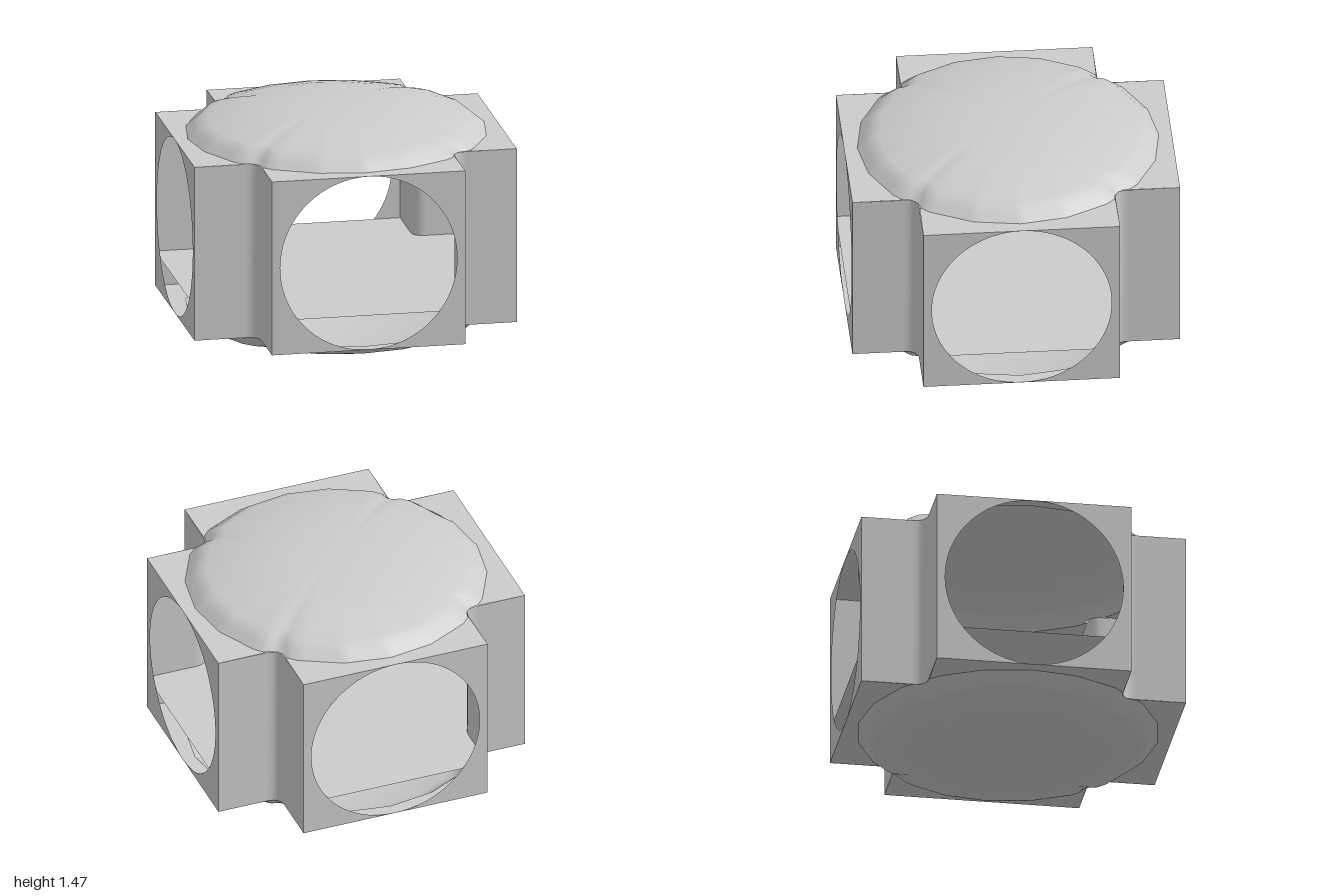
import * as THREE from 'three';
import { mergeVertices } from 'three/addons/utils/BufferGeometryUtils.js';

const MID = 0.7325, HALF = 0.55, ARM = 0.6, RIM = 0.92, RISE = 0.1825, FILLET = 0.08;

const material = new THREE.MeshStandardMaterial({ color: 0xcccccc, side: THREE.DoubleSide });

function addMesh(parent, name, geometry) {
  const mesh = new THREE.Mesh(geometry, material);
  mesh.name = name;
  parent.add(mesh);
  return mesh;
}

// Dome outline: a 20-sided disc, notched where the inner corners cut into it
function rimRadius(angle) {
  const c = Math.abs(Math.cos(angle)), s = Math.abs(Math.sin(angle));
  const step = Math.PI / 10;
  const local = ((angle % step) + step) % step - step / 2;
  const disc = RIM * Math.cos(step / 2) / Math.cos(local);
  const notch = Math.max(ARM / Math.max(1e-6, Math.min(c, s)), (2 * ARM + FILLET / 2) / (c + s));
  return Math.min(disc, notch);
}

// Inner corner of the cross in the first quadrant, from one arm end to the other
function cornerPath() {
  const e = ARM + FILLET;
  const curve = new THREE.QuadraticBezierCurve(
    new THREE.Vector2(ARM, e), new THREE.Vector2(ARM, ARM), new THREE.Vector2(e, ARM));
  return [
    new THREE.Vector2(ARM, 1), new THREE.Vector2(ARM, e + 0.01),
    ...curve.getPoints(6),
    new THREE.Vector2(e + 0.01, ARM), new THREE.Vector2(1, ARM),
  ];
}

// Shallow cap, a lathe whose radius follows the notched outline
function domeGeometry() {
  const profile = [[1, 0], [0.955, 0.2], [0.91, 0.39], [0.86, 0.47], [0.76, 0.61], [0.62, 0.765],
    [0.46, 0.885], [0.3, 0.955], [0.15, 0.99], [0, 1]]
    .map(([r, h]) => new THREE.Vector2(r, h * RISE));
  const lathe = new THREE.LatheGeometry(profile, 160);
  const p = lathe.attributes.position;
  for (let i = 0; i < p.count; i++) {
    const x = p.getX(i), z = p.getZ(i);
    const k = rimRadius(Math.atan2(z, x));
    p.setXYZ(i, x * k, p.getY(i), z * k);
  }
  lathe.deleteAttribute('uv');
  lathe.deleteAttribute('normal');
  const geometry = mergeVertices(lathe, 1e-5);
  geometry.computeVertexNormals();
  return geometry;
}

// Flat cover of one arm, cut away along the dome outline
function armCoverGeometry() {
  const points = [new THREE.Vector2(1, -ARM), new THREE.Vector2(1, ARM)];
  const limit = Math.asin(ARM / (RIM - 0.005));
  for (let i = 0; i <= 36; i++) {
    const a = limit * (1 - i / 18), r = rimRadius(a);
    points.push(new THREE.Vector2(r * Math.cos(a), r * Math.sin(a)));
  }
  return new THREE.ShapeGeometry(new THREE.Shape(points)).rotateX(-Math.PI / 2);
}

// Upright wall ribbon following the inner corner
function wallGeometry() {
  const path = cornerPath();
  const geometry = new THREE.PlaneGeometry(1, 2 * HALF, path.length - 1, 1);
  const p = geometry.attributes.position;
  for (let i = 0; i < p.count; i++) {
    const q = path[i % path.length];
    p.setXYZ(i, q.x, p.getY(i), q.y);
  }
  geometry.computeVertexNormals();
  return geometry;
}

// End plate with a round opening
function endPlateGeometry() {
  const shape = new THREE.Shape([
    new THREE.Vector2(-ARM, -HALF), new THREE.Vector2(ARM, -HALF),
    new THREE.Vector2(ARM, HALF), new THREE.Vector2(-ARM, HALF)]);
  const hole = new THREE.Path();
  hole.absarc(0, 0, HALF - 0.001, 0, Math.PI * 2, true);
  shape.holes.push(hole);
  return new THREE.ShapeGeometry(shape, 48).translate(0, 0, 1);
}

// Thin cross-shaped floor
function floorGeometry() {
  const points = [];
  for (let q = 0; q < 4; q++) {
    for (const v of cornerPath().reverse()) {
      points.push(v.rotateAround(new THREE.Vector2(), q * Math.PI / 2));
    }
  }
  return new THREE.ShapeGeometry(new THREE.Shape(points)).rotateX(-Math.PI / 2);
}

export function createModel() {
  const model = new THREE.Group();
  model.name = 'crossChamber';
  const body = new THREE.Group();
  body.name = 'body';
  body.position.y = MID;
  model.add(body);

  // Four sides
  const wall = wallGeometry(), plate = endPlateGeometry();
  for (let q = 0; q < 4; q++) {
    const turn = q * Math.PI / 2;
    addMesh(body, 'cornerWall', wall).rotation.y = turn;
    addMesh(body, 'endPlate', plate).rotation.y = turn;
  }

  // Roof, and the same turned over as the underside
  const dome = domeGeometry(), cover = armCoverGeometry();
  for (const name of ['roof', 'underside']) {
    const cap = new THREE.Group();
    cap.name = name;
    if (name === 'underside') cap.rotation.x = Math.PI;
    body.add(cap);
    addMesh(cap, 'dome', dome).position.y = HALF;
    for (let q = 0; q < 4; q++) {
      const arm = addMesh(cap, 'armCover', cover);
      arm.position.y = HALF;
      arm.rotation.y = q * Math.PI / 2;
    }
  }

  // Floor inside the chamber
  addMesh(model, 'innerFloor', floorGeometry()).position.y = 0.4;
  return model;
}
